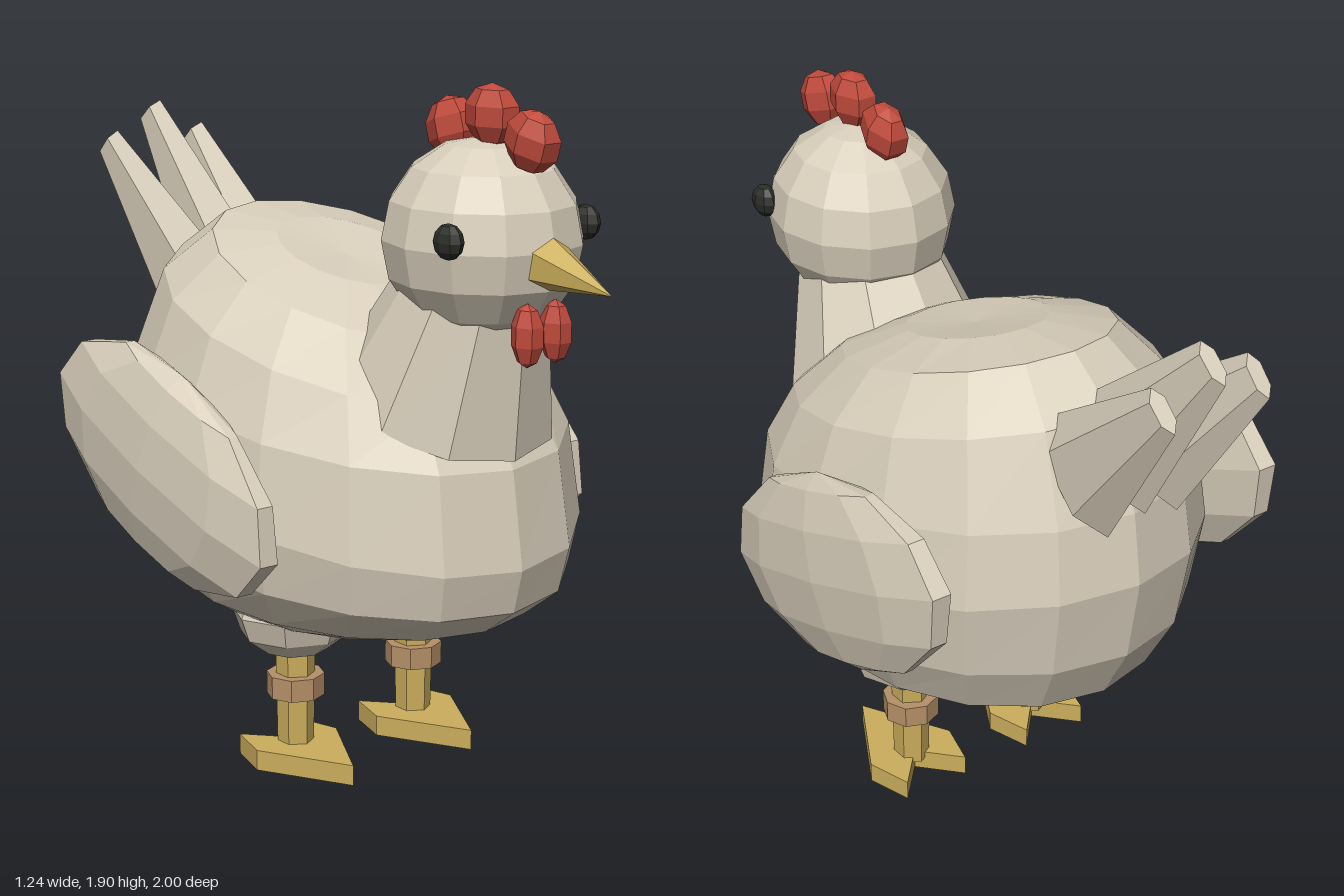
import * as THREE from 'three';

const mat = (name, color) => {
  const m = new THREE.MeshStandardMaterial({ color, flatShading: true });
  m.name = name;
  return m;
};

export function createModel() {
  const feather = mat('cream feather', 0xd8cebb);
  const yellow = mat('yellow horn', 0xcbae5c);
  const red = mat('comb red', 0xc04a3c);
  const black = mat('eye black', 0x2b2d28);
  const tan = mat('leg band tan', 0xb59068);
  const model = new THREE.Group();
  model.name = 'hen';

  const add = (name, geometry, material, x = 0, y = 0, z = 0) => {
    const mesh = new THREE.Mesh(geometry, material);
    mesh.name = name;
    mesh.position.set(x, y, z);
    model.add(mesh);
    return mesh;
  };
  const ball = (name, material, [x, y, z], [rx, ry, rz], segments, rows) => {
    const mesh = add(name, new THREE.SphereGeometry(1, segments, rows), material, x, y, z);
    mesh.scale.set(rx, ry, rz);
    return mesh;
  };
  // Tapered prism running from point a to point b
  const taper = (name, material, a, b, ra, rb, sides, flat = 1) => {
    const p = new THREE.Vector3(...a), q = new THREE.Vector3(...b);
    const d = q.clone().sub(p);
    const mesh = add(name, new THREE.CylinderGeometry(rb, ra, d.length(), sides), material);
    mesh.position.copy(p).add(q).multiplyScalar(0.5);
    mesh.quaternion.setFromUnitVectors(new THREE.Vector3(0, 1, 0), d.normalize());
    mesh.scale.x = flat;
    return mesh;
  };

  // Body: tilted rings, each [front z, front y, back z, back y, half width]
  const rings = [
    [-0.02, 0.38, -0.02, 0.38, 0],
    [0.2, 0.4, -0.24, 0.385, 0.18],
    [0.4, 0.425, -0.43, 0.43, 0.34],
    [0.56, 0.47, -0.59, 0.525, 0.46],
    [0.67, 0.55, -0.68, 0.69, 0.53],
    [0.7, 0.67, -0.72, 0.93, 0.56],
    [0.66, 0.93, -0.69, 1.13, 0.53],
    [0.56, 1.08, -0.59, 1.37, 0.46],
    [0.4, 1.23, -0.43, 1.48, 0.34],
    [0.2, 1.34, -0.23, 1.46, 0.18],
    [-0.01, 1.385, -0.01, 1.385, 0],
  ];
  const sides = 16, positions = [], index = [];
  rings.forEach(([zf, yf, zb, yb, w], i) => {
    for (let j = 0; j < sides; j++) {
      const a = (j / sides) * Math.PI * 2, t = (1 + Math.cos(a)) / 2;
      positions.push(w * Math.sin(a), yb + (yf - yb) * t, zb + (zf - zb) * t);
      if (i === rings.length - 1) continue;
      const k = (j + 1) % sides, lo = i * sides, hi = lo + sides;
      if (i > 0) index.push(lo + j, lo + k, hi + k);
      if (i < rings.length - 2) index.push(lo + j, hi + k, hi + j);
      else index.push(lo + j, lo + k, hi + j);
    }
  });
  const bodyGeometry = new THREE.BufferGeometry();
  bodyGeometry.setAttribute('position', new THREE.Float32BufferAttribute(positions, 3));
  bodyGeometry.setIndex(index);
  bodyGeometry.computeVertexNormals();
  add('body', bodyGeometry, feather);

  // Neck and head
  taper('neck', feather, [0, 1.06, 0.385], [0, 1.38, 0.505], 0.3, 0.2, 10);
  ball('head', feather, [0, 1.51, 0.53], [0.255, 0.26, 0.27], 12, 8);
  taper('beak', yellow, [0, 1.488, 0.74], [0, 1.435, 1], 0.08, 0.001, 6);

  // Comb lobes along the crown
  [[0.41, 1.78, -0.3], [0.56, 1.825, 0], [0.71, 1.775, 0.3]].forEach(([z, y, tilt], i) => {
    const lobe = ball('combLobe' + (i + 1), red, [0, y, z], [0.058, 0.08, 0.086], 6, 5);
    lobe.rotation.x = tilt;
  });

  // Foot outline: pointed toe in front, two prongs behind
  const footShape = new THREE.Shape(
    [[0, -0.27], [0.137, -0.02], [0.1, 0.11], [0, 0], [-0.1, 0.11], [-0.137, -0.02]]
      .map(([x, y]) => new THREE.Vector2(x, -y)));
  const footGeometry = new THREE.ExtrudeGeometry(footShape, { depth: 0.057, bevelEnabled: false });
  footGeometry.rotateX(Math.PI / 2).translate(0, 0.057, 0);

  // Mirrored parts
  for (const s of [1, -1]) {
    const side = s > 0 ? 'left' : 'right';
    ball(side + 'Eye', black, [s * 0.228, 1.545, 0.665], [0.033, 0.046, 0.046], 8, 6);
    ball(side + 'Wattle', red, [s * 0.047, 1.302, 0.755], [0.04, 0.082, 0.047], 6, 5);

    const wing = ball(side + 'Wing', feather, [s * 0.53, 0.865, -0.135], [0.09, 0.275, 0.52], 10, 6);
    wing.rotation.x = 0.35;

    ball(side + 'Thigh', feather, [s * 0.21, 0.44, 0.015], [0.18, 0.135, 0.17], 8, 6);
    add(side + 'Shank', new THREE.CylinderGeometry(0.055, 0.05, 0.3, 6), yellow, s * 0.21, 0.19, 0.015);
    add(side + 'LegBand', new THREE.CylinderGeometry(0.08, 0.08, 0.062, 8), tan, s * 0.21, 0.222, 0.015);
    add(side + 'Foot', footGeometry, yellow, s * 0.21, 0, 0);

    taper(side + 'TailFeather', feather, [s * 0.115, 1.235, -0.6], [s * 0.147, 1.595, -0.952],
      0.17, 0.062, 6, 0.42);
  }
  taper('middleTailFeather', feather, [0, 1.26, -0.6], [0, 1.675, -0.952], 0.17, 0.062, 6, 0.42);

  return model;
}
